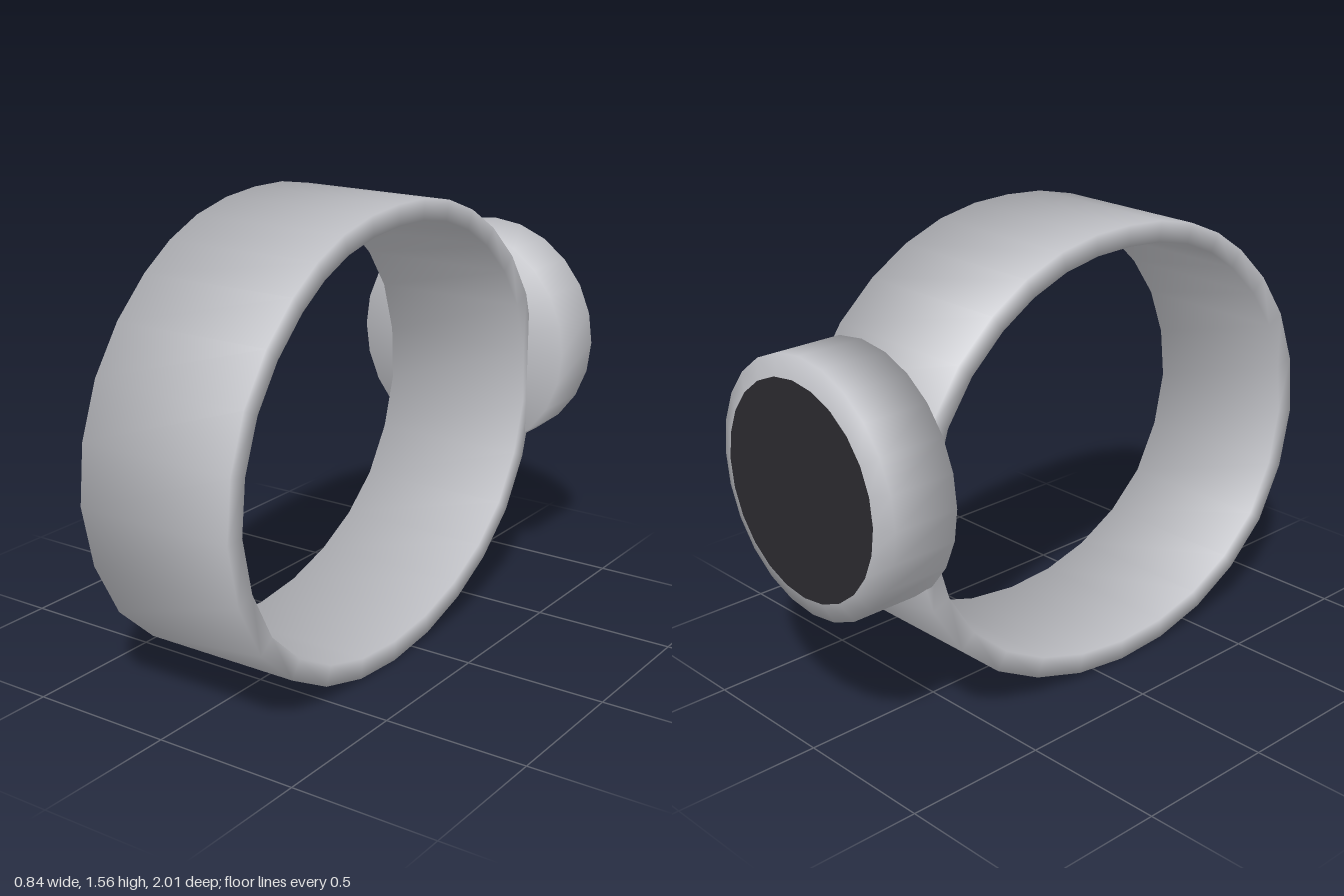
import * as THREE from 'three';

const silver = new THREE.MeshStandardMaterial({ color: 0xc0c1c6 });
silver.name = 'silver';
const black = new THREE.MeshStandardMaterial({ color: 0x2c2b30 });
black.name = 'black';

// Inner outline of the band as [z, y], from the front over the top
const OUTLINE = [
  [0.936, 0.718], [0.855, 1.067], [0.635, 1.324], [0.4, 1.453], [0.12, 1.496],
  [-0.158, 1.469], [-0.426, 1.34], [-0.651, 1.088], [-0.716, 0.713], [-0.56, 0.37],
  [-0.255, 0.161], [0.126, 0.08], [0.496, 0.139], [0.802, 0.354],
];

// Closed strip with a rectangular section and softened corner normals
function bandGeometry(halfWidth, thickness, segments) {
  const curve = new THREE.CatmullRomCurve3(
    OUTLINE.map(([z, y]) => new THREE.Vector3(0, y, z)), true);
  const section = [[1, 1], [-1, 1], [-1, -1], [1, -1]]; // [x side, outer or inner]
  const positions = [], normals = [], indices = [];
  for (let i = 0; i < segments; i++) {
    const p = curve.getPoint(i / segments);
    const t = curve.getTangent(i / segments);
    const out = new THREE.Vector3(0, -t.z, t.y);
    section.forEach(([sx, so], k) => {
      const v = p.clone().addScaledVector(out, so > 0 ? thickness : 0);
      const n = out.clone().multiplyScalar(so).setX(sx).normalize();
      positions.push(sx * halfWidth, v.y, v.z);
      normals.push(n.x, n.y, n.z);
      const next = ((i + 1) % segments) * 4, k2 = (k + 1) % 4;
      const a = i * 4 + k, b = next + k, c = i * 4 + k2, d = next + k2;
      indices.push(a, b, c, b, d, c);
    });
  }
  const geometry = new THREE.BufferGeometry();
  geometry.setAttribute('position', new THREE.Float32BufferAttribute(positions, 3));
  geometry.setAttribute('normal', new THREE.Float32BufferAttribute(normals, 3));
  geometry.setIndex(indices);
  return geometry;
}

export function createModel() {
  const model = new THREE.Group();
  const add = (name, geometry, material, parent = model) => {
    const mesh = new THREE.Mesh(geometry, material);
    mesh.name = name;
    parent.add(mesh);
    return mesh;
  };

  // Wrist band
  add('band', bandGeometry(0.284, 0.07, 28), silver);

  // Round case at the back of the band, with a bevelled rim
  const head = new THREE.Group();
  head.name = 'head';
  head.position.y = 0.9;
  model.add(head);
  const profile = [[0, 0.74], [0.422, 0.74], [0.422, 0.973], [0.355, 1]]
    .map(([r, h]) => new THREE.Vector2(r, h));
  add('case', new THREE.LatheGeometry(profile, 24).rotateX(-Math.PI / 2), silver, head);

  // Dark face closing the case
  const face = add('face', new THREE.CircleGeometry(0.355, 24), black, head);
  face.rotation.y = Math.PI;
  face.position.z = -1;

  return model;
}
